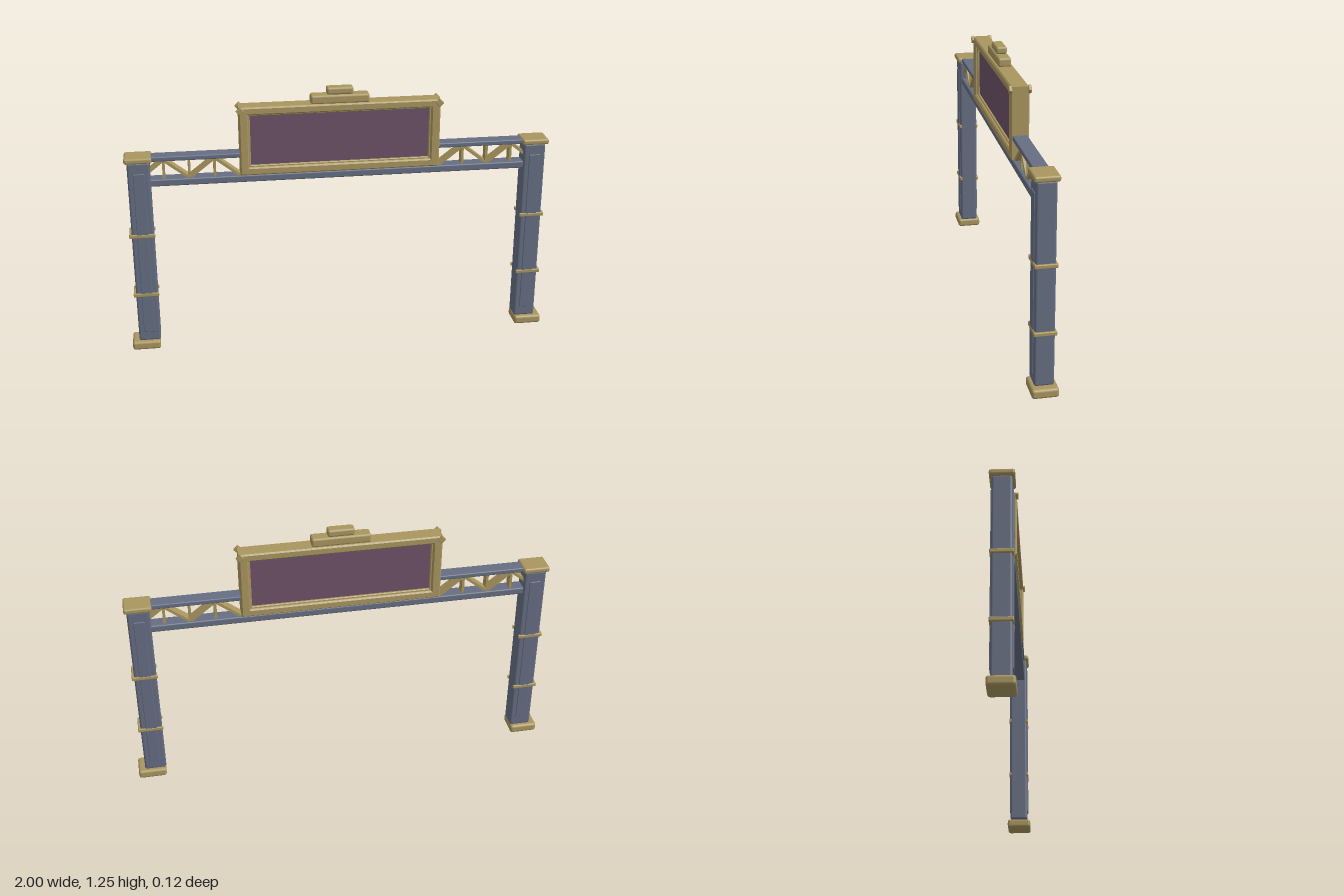
import * as THREE from 'three';
import { RoundedBoxGeometry } from 'three/addons/geometries/RoundedBoxGeometry.js';

const material = (name, color) => {
  const m = new THREE.MeshStandardMaterial({ color });
  m.name = name;
  return m;
};

export function createModel() {
  const brass = material('brass', 0xa9965f);
  const steel = material('steel blue', 0x666e83);
  const plum = material('plum', 0x6d5268);

  const root = new THREE.Group();
  root.name = 'signGantry';

  // Softly bevelled block given by its size and centre
  const block = (parent, name, mat, [w, h, d], [x, y, z], r = 0.006) => {
    const mesh = new THREE.Mesh(new RoundedBoxGeometry(w, h, d, 2, r), mat);
    mesh.name = name;
    mesh.position.set(x, y, z);
    parent.add(mesh);
    return mesh;
  };

  // Rectangular ring standing in the xy plane, centred on z = 0
  const ring = (parent, name, mat, outer, inner, depth, bevel) => {
    const rect = (Type, [x, y0, y1], g) => {
      const p = new Type();
      p.moveTo(-x + g, y0 + g);
      p.lineTo(x - g, y0 + g);
      p.lineTo(x - g, y1 - g);
      p.lineTo(-x + g, y1 - g);
      p.closePath();
      return p;
    };
    const shape = rect(THREE.Shape, outer, bevel);
    shape.holes.push(rect(THREE.Path, inner, -bevel));
    const geo = new THREE.ExtrudeGeometry(shape, {
      depth: depth - 2 * bevel, bevelEnabled: true,
      bevelThickness: bevel, bevelSize: bevel, bevelSegments: 1,
    });
    geo.translate(0, 0, -depth / 2 + bevel);
    const mesh = new THREE.Mesh(geo, mat);
    mesh.name = name;
    parent.add(mesh);
  };

  // Straight brace between two points of the truss
  const brace = (parent, name, [x0, y0], [x1, y1], t, depth) => {
    const len = Math.hypot(x1 - x0, y1 - y0);
    const mesh = new THREE.Mesh(new THREE.BoxGeometry(len, t, depth), brass);
    mesh.name = name;
    mesh.position.set((x0 + x1) / 2, (y0 + y1) / 2, 0);
    mesh.rotation.z = Math.atan2(y1 - y0, x1 - x0);
    parent.add(mesh);
  };

  for (const s of [-1, 1]) {
    // Post with foot, cap, raised panels and clamp bands
    const post = new THREE.Group();
    post.name = s > 0 ? 'leftPost' : 'rightPost';
    root.add(post);
    block(post, 'column', steel, [0.102, 0.9, 0.086], [s * 0.917, 0.492, 0], 0.01);
    block(post, 'foot', brass, [0.132, 0.042, 0.116], [s * 0.934, 0.021, 0], 0.012);
    block(post, 'cap', brass, [0.124, 0.026, 0.108], [s * 0.918, 0.953, 0], 0.009);
    for (const f of [-1, 1])
      block(post, 'raisedPanel', steel, [0.052, 0.8, 0.008], [s * 0.917, 0.49, f * 0.0435], 0.003);
    for (const y of [0.285, 0.585]) {
      for (const f of [-1, 1])
        block(post, 'band', brass, [0.118, 0.018, 0.012], [s * 0.92, y, f * 0.043], 0.004);
      block(post, 'bandSide', brass, [0.012, 0.018, 0.094], [s * 0.973, y, 0], 0.004);
    }

    // Truss between the post and the sign
    const truss = new THREE.Group();
    truss.name = s > 0 ? 'leftTruss' : 'rightTruss';
    root.add(truss);
    block(truss, 'topChord', steel, [0.43, 0.022, 0.066], [s * 0.662, 0.952, 0], 0.005);
    const low = 0.853, high = 0.943, step = 0.115;
    for (let i = 0; i < 4; i++) {
      const x0 = 0.46 + i * step;
      const up = i % 2 === 0;
      const x1 = i === 3 ? x0 + 0.07 : x0 + step;
      const y1 = i === 3 ? high - (high - low) * 0.61 : (up ? high : low);
      brace(truss, 'diagonal', [s * x0, up ? low : high], [s * x1, y1], 0.013, 0.046);
      if (i > 0) brace(truss, 'upright', [s * x0, low], [s * x0, high], 0.012, 0.04);
    }
  }
  block(root, 'bottomChord', steel, [1.74, 0.033, 0.066], [0, 0.838, 0], 0.006);

  // Framed sign board, the same on both faces
  const sign = new THREE.Group();
  sign.name = 'sign';
  root.add(sign);
  ring(sign, 'frame', brass, [0.46, 0.856, 1.178], [0.418, 0.893, 1.142], 0.082, 0.006);
  ring(sign, 'innerTrim', brass, [0.43, 0.88, 1.155], [0.41, 0.9, 1.135], 0.056, 0.003);
  const board = new THREE.Mesh(new THREE.BoxGeometry(0.83, 0.25, 0.036), plum);
  board.name = 'board';
  board.position.y = 1.017;
  sign.add(board);

  // Diamond studs on the upper corners
  for (const s of [-1, 1])
    for (const f of [-1, 1])
      block(sign, 'cornerStud', brass, [0.028, 0.028, 0.014],
        [s * 0.454, 1.164, f * 0.042], 0.003).rotation.z = Math.PI / 4;

  // Stepped crest
  block(sign, 'crestBase', brass, [0.268, 0.042, 0.06], [0, 1.196, 0], 0.01);
  block(sign, 'crestTop', brass, [0.122, 0.034, 0.05], [0, 1.233, 0], 0.01);

  return root;
}
